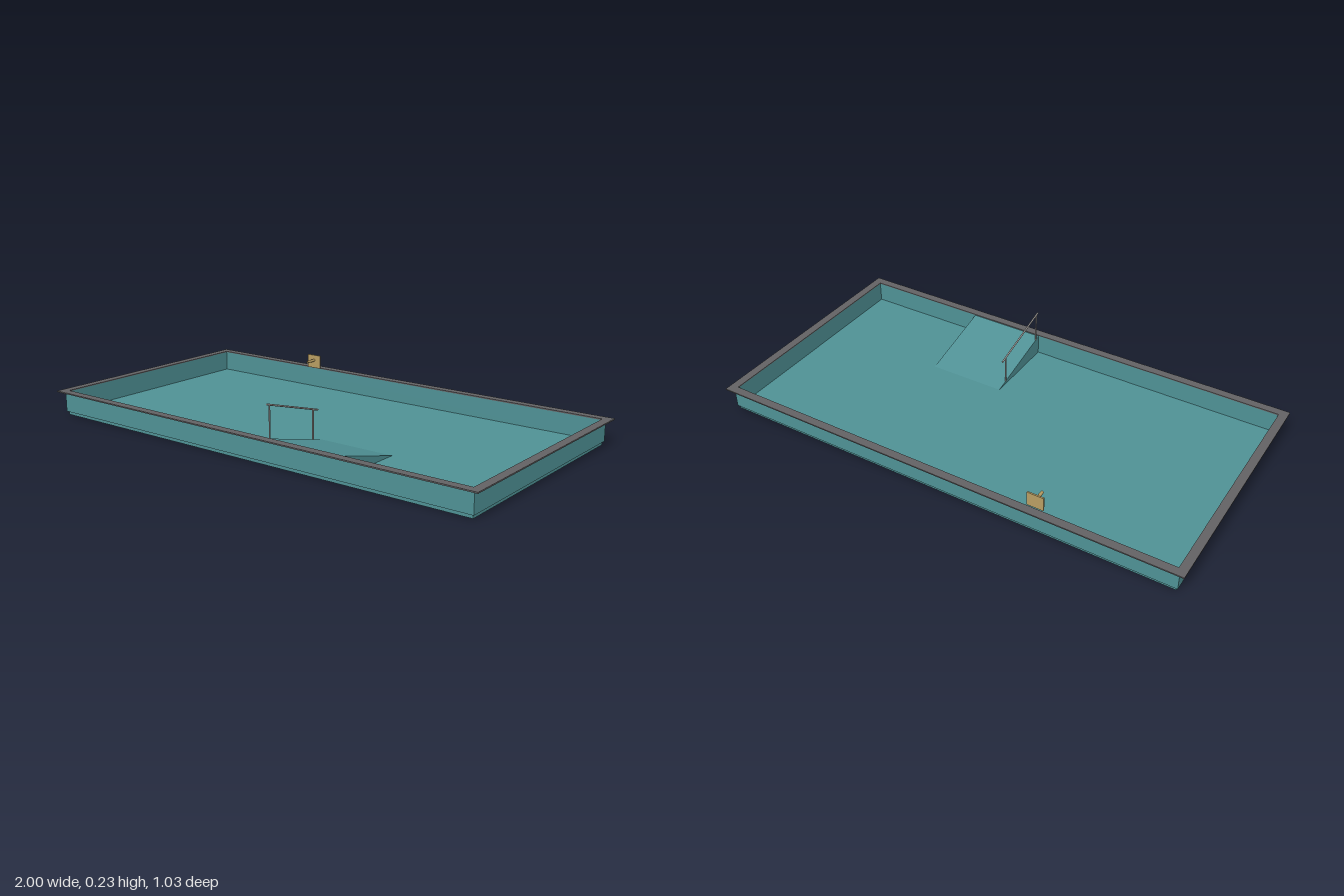
import * as THREE from 'three';

const mat = (name, color, side = THREE.FrontSide) => {
  const m = new THREE.MeshStandardMaterial({ color, side });
  m.name = name;
  return m;
};

export function createModel() {
  const model = new THREE.Group();
  model.name = 'pool';

  const teal = mat('teal lining', 0x4f9195);
  const stone = mat('grey coping', 0x636264);
  const steel = mat('rail steel', 0xa3a09e);
  const brass = mat('spout brass', 0xb89d62, THREE.DoubleSide);

  const add = (name, geometry, material, parent = model) => {
    const mesh = new THREE.Mesh(geometry, material);
    mesh.name = name;
    parent.add(mesh);
    return mesh;
  };

  // Rectangular ring lying flat, given half sizes and a height range
  const frame = (ox, oz, ix, iz, y0, y1) => {
    const shape = new THREE.Shape([[-ox, -oz], [ox, -oz], [ox, oz], [-ox, oz]].map(p => new THREE.Vector2(...p)));
    shape.holes.push(new THREE.Path([[-ix, -iz], [-ix, iz], [ix, iz], [ix, -iz]].map(p => new THREE.Vector2(...p))));
    return new THREE.ExtrudeGeometry(shape, { depth: y1 - y0, bevelEnabled: false })
      .rotateX(-Math.PI / 2).translate(0, y0, 0);
  };

  // Round bar between two points
  const bar = (a, b, radius) => {
    const dir = b.clone().sub(a);
    const geometry = new THREE.CylinderGeometry(radius, radius, dir.length(), 12);
    geometry.applyQuaternion(new THREE.Quaternion().setFromUnitVectors(new THREE.Vector3(0, 1, 0), dir.normalize()));
    const mid = a.clone().add(b).multiplyScalar(0.5);
    return geometry.translate(mid.x, mid.y, mid.z);
  };

  // Basin: floor slab, walls and overhanging coping
  add('floor', new THREE.BoxGeometry(1.938, 0.015, 0.968).translate(0, 0.0075, 0), teal);
  add('walls', frame(0.975, 0.491, 0.965, 0.48, 0.014, 0.099), teal);
  add('coping', frame(1, 0.515, 0.965, 0.48, 0.098, 0.103), stone);

  // Entry ramp rising from the floor to the front edge
  const wedge = new THREE.Shape([[0.15, 0.014], [0.48, 0.014], [0.48, 0.098]].map(p => new THREE.Vector2(...p)));
  add('ramp', new THREE.ExtrudeGeometry(wedge, { depth: 0.325, bevelEnabled: false })
    .rotateY(-Math.PI / 2).translate(0.44, 0, 0), teal);

  // Handrail with two posts along the ramp side
  const handrail = new THREE.Group();
  handrail.name = 'handrail';
  model.add(handrail);
  const at = (y, z) => new THREE.Vector3(0.116, y, z);
  add('railBar', bar(at(0.222, 0.47), at(0.139, 0.18), 0.0035), steel, handrail);
  add('frontPost', bar(at(0.09, 0.457), at(0.217, 0.457), 0.003), steel, handrail);
  add('rearPost', bar(at(0.025, 0.208), at(0.146, 0.208), 0.0035), steel, handrail);

  // Water spout: back plate and hollow pipe
  const spout = new THREE.Group();
  spout.name = 'spout';
  spout.position.set(-0.417, 0, -0.474);
  model.add(spout);
  add('spoutPlate', new THREE.BoxGeometry(0.068, 0.058, 0.006).translate(0, 0.132, 0), brass, spout);
  const profile = [[0.006, 0], [0.006, 0.049], [0.004, 0.049], [0.004, 0]].map(p => new THREE.Vector2(...p));
  add('spoutPipe', new THREE.LatheGeometry(profile, 16).rotateX(Math.PI / 2).translate(0, 0.137, 0), brass, spout);

  return model;
}
